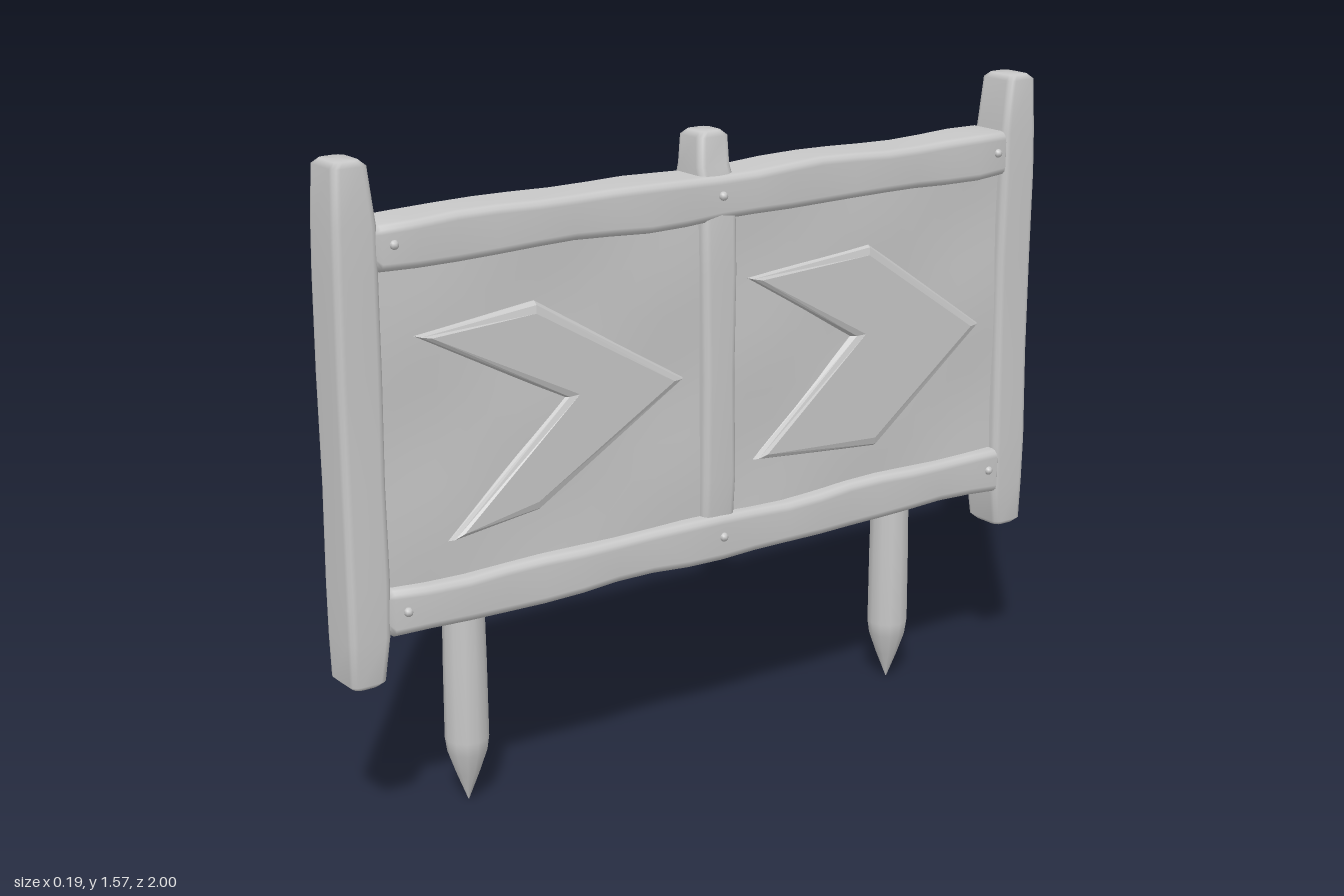
import * as THREE from 'three';

const wood = new THREE.MeshStandardMaterial({ color: 0xc8c8c8 });
wood.name = 'plain grey wood';

// Cross-section of a hewn timber: a rectangle with rounded corners
function outline(a, b, r) {
  const pts = [];
  [[1, 1], [-1, 1], [-1, -1], [1, -1]].forEach(([sx, sy], q) => {
    for (let i = 0; i < 4; i++) {
      const t = (q + i / 3) * Math.PI / 2;
      pts.push([sx * (a - r) + Math.cos(t) * r, sy * (b - r) + Math.sin(t) * r]);
    }
  });
  return pts;
}

// Lofts upright sections [y, halfX, halfZ, centreX, centreZ], softening both ends
function timber(name, stations, round = 0.018) {
  const soften = (s, dy) => [s[0] + dy, s[1] - 0.012, s[2] - 0.012, s[3], s[4]];
  const first = stations[0], last = stations[stations.length - 1];
  const list = [soften(first, 0), [first[0] + 0.012, ...first.slice(1)],
    ...stations.slice(1, -1), [last[0] - 0.012, ...last.slice(1)], soften(last, 0)];
  const pos = [], index = [], n = 16;
  for (const [y, a, b, cx = 0, cz = 0] of list) {
    for (const [x, z] of outline(a, b, Math.min(round, a * 0.9, b * 0.9))) pos.push(x + cx, y, z + cz);
  }
  for (let k = 0; k < list.length - 1; k++) {
    for (let i = 0; i < n; i++) {
      const p = k * n + i, q = k * n + (i + 1) % n;
      index.push(p, p + n, q, q, p + n, q + n);
    }
  }
  // End caps
  [[0, first], [list.length - 1, last]].forEach(([k, s], top) => {
    const c = pos.length / 3;
    pos.push(s[3] || 0, s[0], s[4] || 0);
    for (let i = 0; i < n; i++) {
      const p = k * n + i, q = k * n + (i + 1) % n;
      if (top) index.push(c, q, p); else index.push(c, p, q);
    }
  });
  const g = new THREE.BufferGeometry();
  g.setAttribute('position', new THREE.Float32BufferAttribute(pos, 3));
  g.setIndex(index);
  g.computeVertexNormals();
  const mesh = new THREE.Mesh(g, wood);
  mesh.name = name;
  return mesh;
}

// Gentle sideways bow of the whole board along its length
const bow = z => 0.012 * Math.cos(z * Math.PI / 1.8) - 0.004;

function rail(name, y, half, depth, phase) {
  const stations = [];
  for (let i = 0; i <= 18; i++) {
    const z = -0.9 + i * 0.1;
    stations.push([z, depth + 0.004 * Math.sin(i * 1.9 + phase),
      half + 0.003 * Math.sin(i * 1.3 + phase), bow(z), 0.003 * Math.sin(i * 0.8 + phase)]);
  }
  const mesh = timber(name, stations, 0.02);
  mesh.rotation.x = Math.PI / 2; // lay along z
  mesh.position.y = y;
  return mesh;
}

// Thin, slightly uneven board filling one bay
function panel(name, z) {
  const g = new THREE.BoxGeometry(0.08, 0.76, 0.88, 1, 10, 12);
  const p = g.attributes.position;
  for (let i = 0; i < p.count; i++) {
    const wave = 0.004 * Math.sin(p.getY(i) * 13 + z * 4) * Math.cos(p.getZ(i) * 9);
    p.setX(i, p.getX(i) + bow(p.getZ(i) + z) + wave);
  }
  g.computeVertexNormals();
  const mesh = new THREE.Mesh(g, wood);
  mesh.name = name;
  mesh.position.set(0, 0.965, z);
  return mesh;
}

// Raised arrow running through the board, pointing to -z on both faces
function chevron(name, points) {
  const shape = new THREE.Shape(points.map(([z, y]) => new THREE.Vector2(-z, y)));
  const g = new THREE.ExtrudeGeometry(shape, {
    depth: 0.08, bevelEnabled: true, bevelThickness: 0.018,
    bevelSize: 0.025, bevelOffset: -0.02, bevelSegments: 2,
  });
  g.translate(0, 0, -0.04);
  g.rotateY(Math.PI / 2);
  const mesh = new THREE.Mesh(g, wood);
  mesh.name = name;
  mesh.position.x = 0.004;
  return mesh;
}

export function createModel() {
  const group = new THREE.Group();
  group.name = 'wooden signboard';

  // End posts, tapered above and below the rails
  for (const s of [1, -1]) {
    group.add(timber(s > 0 ? 'frontPost' : 'backPost', [
      [0.385, 0.057, 0.044, 0, s * 0.952],
      [0.5, 0.06, 0.052, 0, s * 0.946],
      [0.62, 0.061, 0.054, 0.001, s * 0.945],
      [0.85, 0.058, 0.053, 0, s * 0.945],
      [1.1, 0.06, 0.055, -0.002, s * 0.944],
      [1.32, 0.061, 0.054, 0, s * 0.945],
      [1.43, 0.06, 0.053, 0, s * 0.944],
      [1.57, 0.056, 0.043, 0, s * 0.949],
    ]));
  }

  // Rails and the middle post
  group.add(rail('topRail', 1.38, 0.055, 0.069, 0));
  group.add(rail('bottomRail', 0.55, 0.055, 0.074, 2));
  group.add(timber('middlePost', [
    [0.51, 0.06, 0.045, 0.005], [0.7, 0.07, 0.048, 0.005], [0.95, 0.068, 0.045, 0.006],
    [1.2, 0.07, 0.049, 0.005], [1.4, 0.066, 0.049, 0.004], [1.45, 0.05, 0.046, 0], [1.53, 0.046, 0.043, 0],
  ]));

  // Panels with their arrows
  group.add(panel('frontPanel', 0.46), panel('backPanel', -0.46));
  group.add(chevron('frontArrow', [
    [0.8, 1.17], [0.5, 1.2], [0.1, 0.96], [0.5, 0.72], [0.73, 0.69], [0.42, 0.97],
  ]));
  group.add(chevron('backArrow', [
    [-0.1, 1.17], [-0.46, 1.2], [-0.82, 0.95], [-0.49, 0.69], [-0.12, 0.72], [-0.42, 0.98],
  ]));

  // Pointed ground stakes
  for (const z of [0.65, -0.63]) {
    const profile = [[0.001, 0], [0.028, 0.07], [0.047, 0.125], [0.052, 0.16], [0.051, 0.35], [0.048, 0.56]];
    const stake = new THREE.Mesh(
      new THREE.LatheGeometry(profile.map(([r, y]) => new THREE.Vector2(r, y)), 12), wood);
    stake.name = z > 0 ? 'frontStake' : 'backStake';
    stake.position.set(-0.048, 0, z);
    group.add(stake);
  }

  // Peg heads where the timbers meet, on both faces
  for (const s of [1, -1]) for (const y of [0.555, 1.385]) for (const z of [-0.86, 0, 0.86]) {
    const peg = new THREE.Mesh(new THREE.SphereGeometry(0.011, 8, 6), wood);
    peg.name = 'peg';
    peg.position.set(bow(z) + s * (y < 1 ? 0.075 : 0.07), y, z);
    group.add(peg);
  }
  return group;
}
